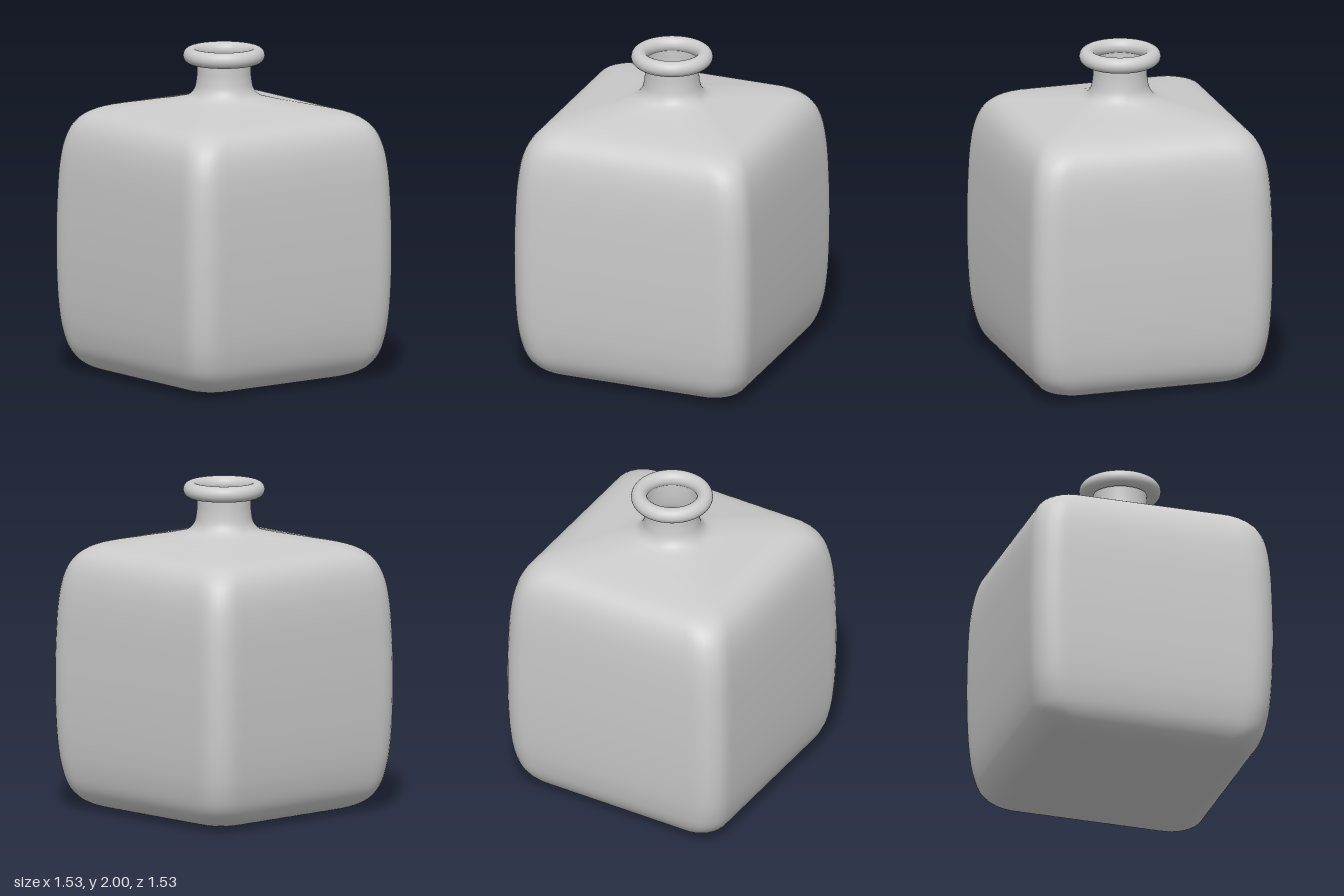
import * as THREE from 'three';

const SEGMENTS = 160;
const ROWS = 110;

// Distance from the axis to a rounded square (half width h, corner radius r) at an angle
function sectionRadius(angle, h, r) {
  const q = angle % (Math.PI / 2);
  const phi = Math.min(q, Math.PI / 2 - q);
  const c = h - r;
  if (h * Math.tan(phi) <= c) return h / Math.cos(phi);
  const s = Math.sin(2 * phi);
  return c * (Math.cos(phi) + Math.sin(phi)) + Math.sqrt(Math.max(0, r * r - c * c * (1 - s)));
}

// Loft from square body to round neck; each station is [half width, height, corner radius]
function bottleGeometry() {
  const stations = [
    [0, 0, 0], [0.25, 0, 0.08], [0.48, 0.003, 0.14], [0.57, 0.016, 0.15], [0.65, 0.055, 0.155],
    [0.705, 0.13, 0.155], [0.738, 0.25, 0.155], [0.757, 0.42, 0.155], [0.767, 0.75, 0.155],
    [0.763, 1.05, 0.155], [0.752, 1.27, 0.155], [0.732, 1.41, 0.155], [0.7, 1.505, 0.155],
    [0.656, 1.565, 0.155], [0.595, 1.605, 0.155], [0.42, 1.648, 0.155], [0.28, 1.678, 0.17],
    [0.208, 1.705, 0.18], [0.18, 1.745, 0.177], [0.166, 1.81, 0.166], [0.162, 1.88, 0.162],
    [0.162, 1.95, 0.162],
  ];
  const curve = new THREE.CatmullRomCurve3(stations.map((s) => new THREE.Vector3(...s)));
  const positions = [];
  const indices = [];
  for (let i = 0; i <= ROWS; i++) {
    const p = curve.getPoint(i / ROWS);
    const h = Math.max(p.x, 0);
    const r = Math.min(Math.max(p.z, 0), h);
    for (let j = 0; j < SEGMENTS; j++) {
      const a = (j / SEGMENTS) * Math.PI * 2;
      const d = sectionRadius(a, h, r);
      positions.push(d * Math.cos(a), Math.max(p.y, 0), d * Math.sin(a));
      if (i === ROWS) continue;
      const a0 = i * SEGMENTS + j;
      const a1 = i * SEGMENTS + ((j + 1) % SEGMENTS);
      indices.push(a0, a0 + SEGMENTS, a1, a1, a0 + SEGMENTS, a1 + SEGMENTS);
    }
  }
  const geometry = new THREE.BufferGeometry();
  geometry.setAttribute('position', new THREE.Float32BufferAttribute(positions, 3));
  geometry.setIndex(indices);
  geometry.computeVertexNormals();
  return geometry;
}

export function createModel() {
  const group = new THREE.Group();
  group.name = 'squareBottle';
  const material = new THREE.MeshStandardMaterial({ color: 0xcccccc, side: THREE.DoubleSide });

  // Body, shoulders and open neck in one smooth skin
  const body = new THREE.Mesh(bottleGeometry(), material);
  body.name = 'bottleBody';
  group.add(body);

  // Rolled lip around the mouth
  const lip = new THREE.Mesh(new THREE.TorusGeometry(0.199, 0.048, 24, 72), material);
  lip.name = 'lip';
  lip.rotation.x = Math.PI / 2;
  lip.position.y = 1.952;
  group.add(lip);

  return group;
}
